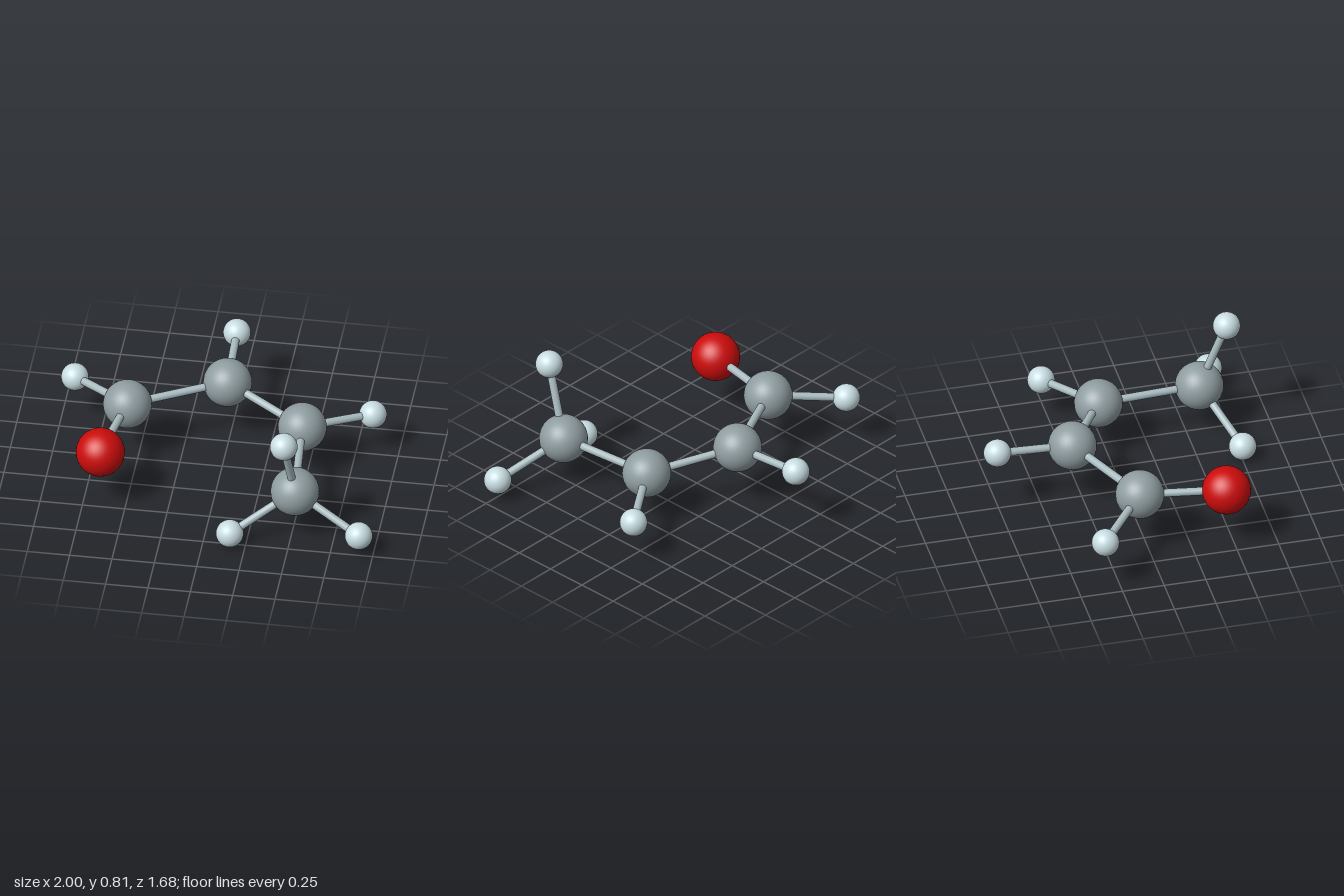
import * as THREE from 'three';

const paint = (color) => new THREE.MeshStandardMaterial({ color });

// kinds of atom: radius and colour
const KINDS = {
  carbon: { radius: 0.143, material: paint(0x8f9da1) },
  oxygen: { radius: 0.143, material: paint(0xcc0c0c) },
  hydrogen: { radius: 0.081, material: paint(0xc8dde2) },
};
const BOND_RADIUS = 0.024;
const bondMaterial = paint(0xa9bbc0);

const ATOMS = {
  oxygen: ['oxygen', -0.65, 0.37, 0.46],
  endCarbon: ['carbon', -0.565, 0.365, -0.04],
  middleCarbon: ['carbon', -0.015, 0.385, -0.31],
  sideCarbon: ['carbon', 0.467, 0.315, -0.035],
  methylCarbon: ['carbon', 0.517, 0.303, 0.583],
  endHydrogen: ['hydrogen', -0.919, 0.31, -0.333],
  middleHydrogen: ['hydrogen', -0.028, 0.415, -0.764],
  sideHydrogen: ['hydrogen', 0.847, 0.265, -0.286],
  methylHydrogenRight: ['hydrogen', 0.158, 0.085, 0.756],
  methylHydrogenLeft: ['hydrogen', 0.916, 0.135, 0.735],
  methylHydrogenTop: ['hydrogen', 0.474, 0.732, 0.737],
};

const BONDS = [
  ['oxygen', 'endCarbon'],
  ['endCarbon', 'middleCarbon'],
  ['middleCarbon', 'sideCarbon'],
  ['sideCarbon', 'methylCarbon'],
  ['endCarbon', 'endHydrogen'],
  ['middleCarbon', 'middleHydrogen'],
  ['sideCarbon', 'sideHydrogen'],
  ['methylCarbon', 'methylHydrogenRight'],
  ['methylCarbon', 'methylHydrogenLeft'],
  ['methylCarbon', 'methylHydrogenTop'],
];

const position = (name) => new THREE.Vector3(...ATOMS[name].slice(1));

// rod running between the centres of two atoms
function makeBond(from, to) {
  const a = position(from);
  const b = position(to);
  const axis = b.clone().sub(a);
  const rod = new THREE.Mesh(
    new THREE.CylinderGeometry(BOND_RADIUS, BOND_RADIUS, axis.length(), 20),
    bondMaterial
  );
  rod.position.copy(a).add(b).multiplyScalar(0.5);
  rod.quaternion.setFromUnitVectors(new THREE.Vector3(0, 1, 0), axis.normalize());
  rod.name = `bond ${from} to ${to}`;
  return rod;
}

export function createModel() {
  const model = new THREE.Group();
  model.name = 'molecule';

  // atoms
  for (const [name, [kind]] of Object.entries(ATOMS)) {
    const { radius, material } = KINDS[kind];
    const ball = new THREE.Mesh(new THREE.SphereGeometry(radius, 32, 24), material);
    ball.position.copy(position(name));
    ball.name = name;
    model.add(ball);
  }

  // bonds
  for (const [from, to] of BONDS) model.add(makeBond(from, to));

  return model;
}
